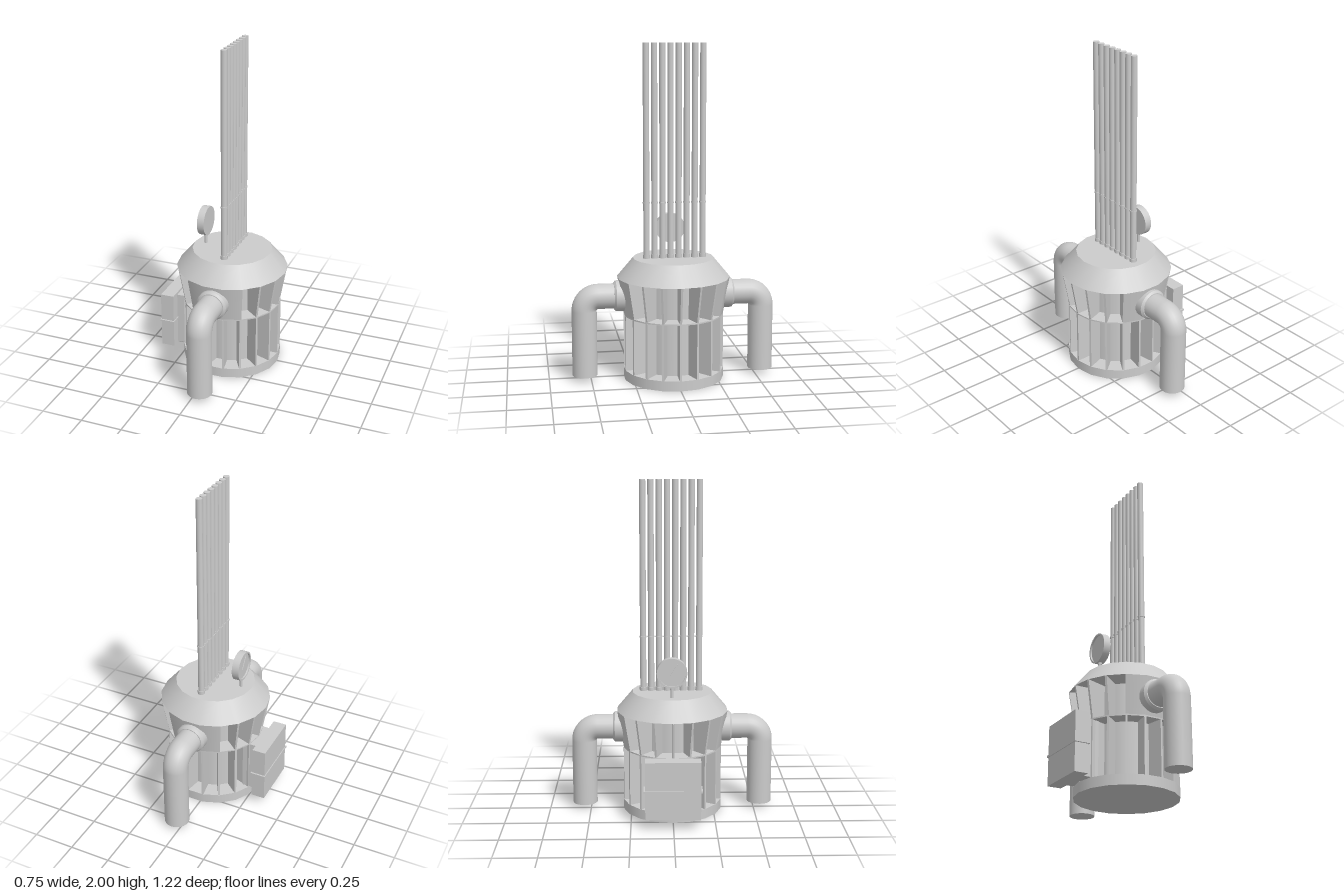
import * as THREE from 'three';

const CX = 0.037; // axis of the pump body
const SIDES = 18;
const STEP = (Math.PI * 2) / SIDES;

export function createModel() {
  const root = new THREE.Group();
  root.name = 'verticalPump';
  const mat = new THREE.MeshStandardMaterial({ color: 0xcccccc });
  const thin = new THREE.MeshStandardMaterial({ color: 0xcccccc, side: THREE.DoubleSide });

  const add = (name, geo, parent = root, material = mat) => {
    const mesh = new THREE.Mesh(geo, material);
    mesh.name = name;
    parent.add(mesh);
    return mesh;
  };
  const group = (name, parent = root) => {
    const g = new THREE.Group();
    g.name = name;
    parent.add(g);
    return g;
  };
  // Upright cylinder or cone between two heights, with a corner on +x
  const drum = (name, rBottom, rTop, y0, y1, parent, sides = SIDES) => {
    const geo = new THREE.CylinderGeometry(rTop, rBottom, y1 - y0, sides, 1, false, Math.PI / 2);
    return add(name, geo.translate(0, (y0 + y1) / 2, 0), parent);
  };
  const box = (name, x0, x1, y0, y1, z0, z1, parent) =>
    add(name, new THREE.BoxGeometry(x1 - x0, y1 - y0, z1 - z0)
      .translate((x0 + x1) / 2, (y0 + y1) / 2, (z0 + z1) / 2), parent);

  // Motor body
  const body = group('body');
  body.position.x = CX;
  drum('base', 0.302, 0.302, 0, 0.06, body);
  drum('core', 0.2, 0.2, 0.06, 0.62, body);
  drum('middlePlate', 0.3, 0.3, 0.392, 0.4, body);
  drum('shoulder', 0.338, 0.242, 0.62, 0.735, body);

  // Radial cooling fins
  const finGeometry = (rBottom, rTop, y0, y1) => {
    const shape = new THREE.Shape([
      new THREE.Vector2(0.18, y0), new THREE.Vector2(rBottom, y0),
      new THREE.Vector2(rTop, y1), new THREE.Vector2(0.18, y1),
    ]);
    const t = 0.012;
    return new THREE.ExtrudeGeometry(shape, { depth: t, bevelEnabled: false }).translate(0, 0, -t / 2);
  };
  const lowerFin = finGeometry(0.3, 0.3, 0.06, 0.392);
  const upperFin = finGeometry(0.298, 0.337, 0.4, 0.62);
  for (let i = 0; i < SIDES; i++) {
    add('lowerFin', lowerFin, body).rotation.y = i * STEP;
    // the upper fins fill the two side openings only
    if (Math.abs(Math.cos(i * STEP)) > 0.49) add('upperFin', upperFin, body).rotation.y = i * STEP;
  }

  // Closed skirt panels behind the pipes
  for (const start of [-Math.PI / 6, Math.PI * 5 / 6]) {
    add('skirtPanel', new THREE.CylinderGeometry(0.338, 0.3, 0.22, 3, 1, true, start, Math.PI / 3)
      .translate(0, 0.51, 0), body, thin);
  }

  // Elbow pipes, front and back
  class ElbowPath extends THREE.CurvePath {}
  const buildPipe = (angle) => {
    const pipe = group('elbowPipe', body);
    pipe.rotation.y = angle;
    const R = 0.082, zc = 0.537, yc = 0.51, r = 0.075;
    const bend = new ElbowPath();
    bend.add(new THREE.CubicBezierCurve3(
      new THREE.Vector3(0, yc, zc - R),
      new THREE.Vector3(0, yc, zc - R * 0.448),
      new THREE.Vector3(0, yc - R * 0.448, zc),
      new THREE.Vector3(0, yc - R, zc)));
    add('bend', new THREE.TubeGeometry(bend, 12, r, 24, false), pipe, thin);
    const down = drum('downPipe', r, r, 0.03, yc - R, pipe, 24);
    down.position.z = zc;
    const across = (name, r0, r1, z0, z1) =>
      add(name, new THREE.CylinderGeometry(r1, r0, z1 - z0, 24).rotateX(Math.PI / 2)
        .translate(0, yc, (z0 + z1) / 2), pipe);
    across('inletPipe', r, r, 0.28, zc - R);
    across('flange', 0.092, 0.092, 0.28, 0.348);
    across('flangeTaper', 0.092, 0.08, 0.348, 0.36);
  };
  buildPipe(0);
  buildPipe(Math.PI);

  // Row of vertical rods
  const rods = group('rods');
  for (let i = 0; i < 8; i++) {
    const rod = group('rod', rods);
    rod.position.set(0.046, 0, -0.175 + i * 0.0482);
    drum('shaft', 0.0185, 0.0185, 0.735, 2, rod, 16);
    drum('collar', 0.022, 0.022, 0.735, 0.757, rod, 16);
    drum('joint', 0.0215, 0.0215, 1.064, 1.072, rod, 16);
  }

  // Pressure gauge, its dial facing -x
  const gauge = group('gauge');
  gauge.position.set(-0.138, 0, -0.005);
  const rim = [[0, -0.022], [0.09, -0.022], [0.09, -0.022], [0.09, 0.022], [0.09, 0.022],
    [0.08, 0.022], [0.08, 0.022], [0.08, 0.012], [0.08, 0.012], [0, 0.012]];
  add('gaugeCase', new THREE.LatheGeometry(rim.map(([x, y]) => new THREE.Vector2(x, y)), 28)
    .rotateZ(Math.PI / 2).translate(0, 0.885, 0), gauge);
  add('needle', new THREE.BoxGeometry(0.004, 0.085, 0.006).translate(0, 0.02, 0)
    .rotateX(0.6).translate(-0.014, 0.885, 0), gauge);
  drum('gaugeStem', 0.009, 0.009, 0.73, 0.81, gauge, 12);
  drum('gaugeNut', 0.013, 0.013, 0.785, 0.8, gauge, 6);

  // Terminal box on the side
  const terminal = group('terminalBox');
  box('case', -0.375, -0.292, 0.06, 0.41, -0.165, 0.16, terminal);
  box('seam', -0.38, -0.287, 0.226, 0.238, -0.175, 0.17, terminal);
  box('mount', -0.295, -0.2, 0.063, 0.395, -0.103, 0.1, terminal);

  return root;
}
